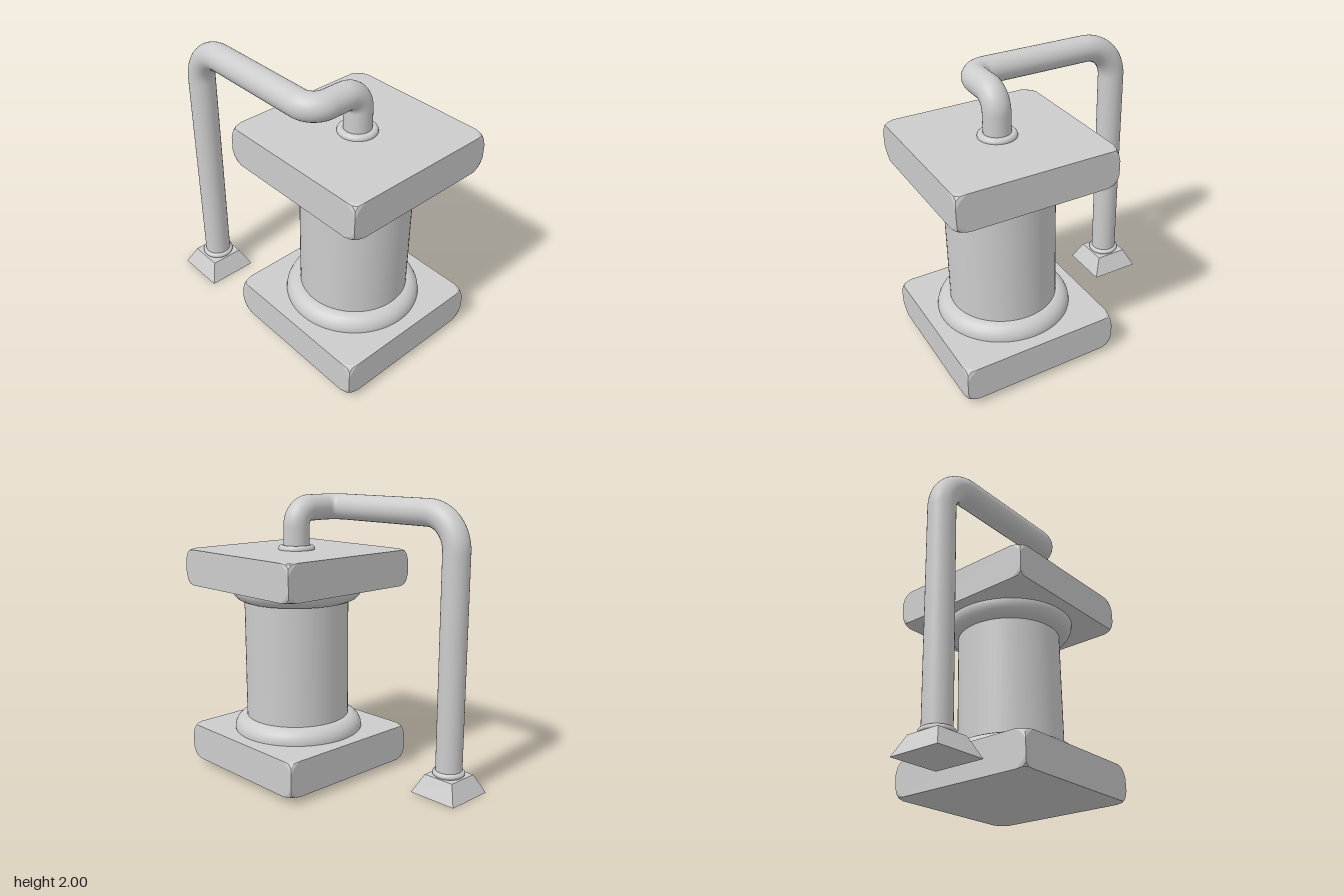
import * as THREE from 'three';
import { ConvexGeometry } from 'three/addons/geometries/ConvexGeometry.js';

const V = (x, y, z) => new THREE.Vector3(x, y, z);
const BODY_Z = 0.377;             // axis of the main column
const PIPE_X = -0.378, PIPE_Z = -0.756; // axis of the down pipe

function add(group, name, geometry, x = 0, y = 0, z = 0, flat = false) {
  const material = new THREE.MeshStandardMaterial({ color: 0xcccccc, flatShading: flat });
  const mesh = new THREE.Mesh(geometry, material);
  mesh.name = name;
  mesh.position.set(x, y, z);
  group.add(mesh);
  return mesh;
}

// Square slab with sharp edges; only its eight corners are rounded off by a sphere patch
function slabGeometry(w, h, d, r, steps = 4) {
  const points = [];
  for (const sx of [-1, 1]) for (const sy of [-1, 1]) for (const sz of [-1, 1]) {
    for (let i = 0; i <= steps; i++) for (let j = 0; j <= steps - i; j++) {
      // spread over the triangle between the three edge points
      const a = i / steps, b = j / steps, c = 1 - a - b;
      const p = V(1 - a, 1 - b, 1 - c).setLength(r * Math.SQRT2);
      points.push(V(
        sx * Math.min(w / 2, w / 2 - r + p.x),
        sy * Math.min(h / 2, h / 2 - r + p.y),
        sz * Math.min(d / 2, d / 2 - r + p.z)));
    }
  }
  return new ConvexGeometry(points);
}

// Path of straight runs joined by round bends; radii[i] belongs to inner corner i
function bentPath(corners, radii) {
  const path = new THREE.CurvePath();
  let from = corners[0];
  for (let i = 1; i < corners.length - 1; i++) {
    const c = corners[i], r = radii[i - 1];
    const back = corners[i - 1].clone().sub(c).normalize();
    const ahead = corners[i + 1].clone().sub(c).normalize();
    const start = c.clone().addScaledVector(back, r);
    const end = c.clone().addScaledVector(ahead, r);
    path.add(new THREE.LineCurve3(from, start));
    path.add(new THREE.CubicBezierCurve3(start,
      c.clone().addScaledVector(back, r * 0.448),
      c.clone().addScaledVector(ahead, r * 0.448), end));
    from = end;
  }
  path.add(new THREE.LineCurve3(from, corners[corners.length - 1]));
  return path;
}

function ring(radius, tube) {
  return new THREE.TorusGeometry(radius, tube, 20, 64).rotateX(Math.PI / 2);
}

export function createModel() {
  const model = new THREE.Group();
  model.name = 'pumpColumn';

  // Base and top slabs
  const slab = slabGeometry(1.125, 0.255, 1.125, 0.08);
  add(model, 'baseSlab', slab, 0, 0.175, BODY_Z, true);
  add(model, 'topSlab', slab, 0, 1.492, BODY_Z, true);

  // Round column with a collar at each end
  add(model, 'column', new THREE.CylinderGeometry(0.375, 0.375, 1.2, 64), 0.004, 0.83, BODY_Z + 0.003);
  add(model, 'lowerCollar', ring(0.37, 0.1), 0, 0.31, BODY_Z);
  add(model, 'upperCollar', ring(0.37, 0.1), 0, 1.36, BODY_Z);

  // Pipe: up from the slab, sideways, back, then down to the foot
  const path = bentPath([
    V(0, 1.58, BODY_Z), V(0, 1.907, BODY_Z), V(PIPE_X, 1.907, BODY_Z),
    V(PIPE_X, 1.907, PIPE_Z), V(PIPE_X, 0.1, PIPE_Z),
  ], [0.12, 0.12, 0.24]);
  add(model, 'pipe', new THREE.TubeGeometry(path, 240, 0.093, 32));

  // Sealing rings at both pipe ends
  add(model, 'pipeTopRing', ring(0.105, 0.027), 0, 1.625, BODY_Z);
  add(model, 'pipeFootRing', ring(0.093, 0.02), PIPE_X, 0.15, PIPE_Z);

  // Pyramid-shaped foot
  const foot = new THREE.CylinderGeometry(0.118 * Math.SQRT2, 0.183 * Math.SQRT2, 0.132, 4, 1)
    .rotateY(Math.PI / 4);
  add(model, 'pipeFoot', foot, -0.381, 0.066, -0.757, true);

  return model;
}
